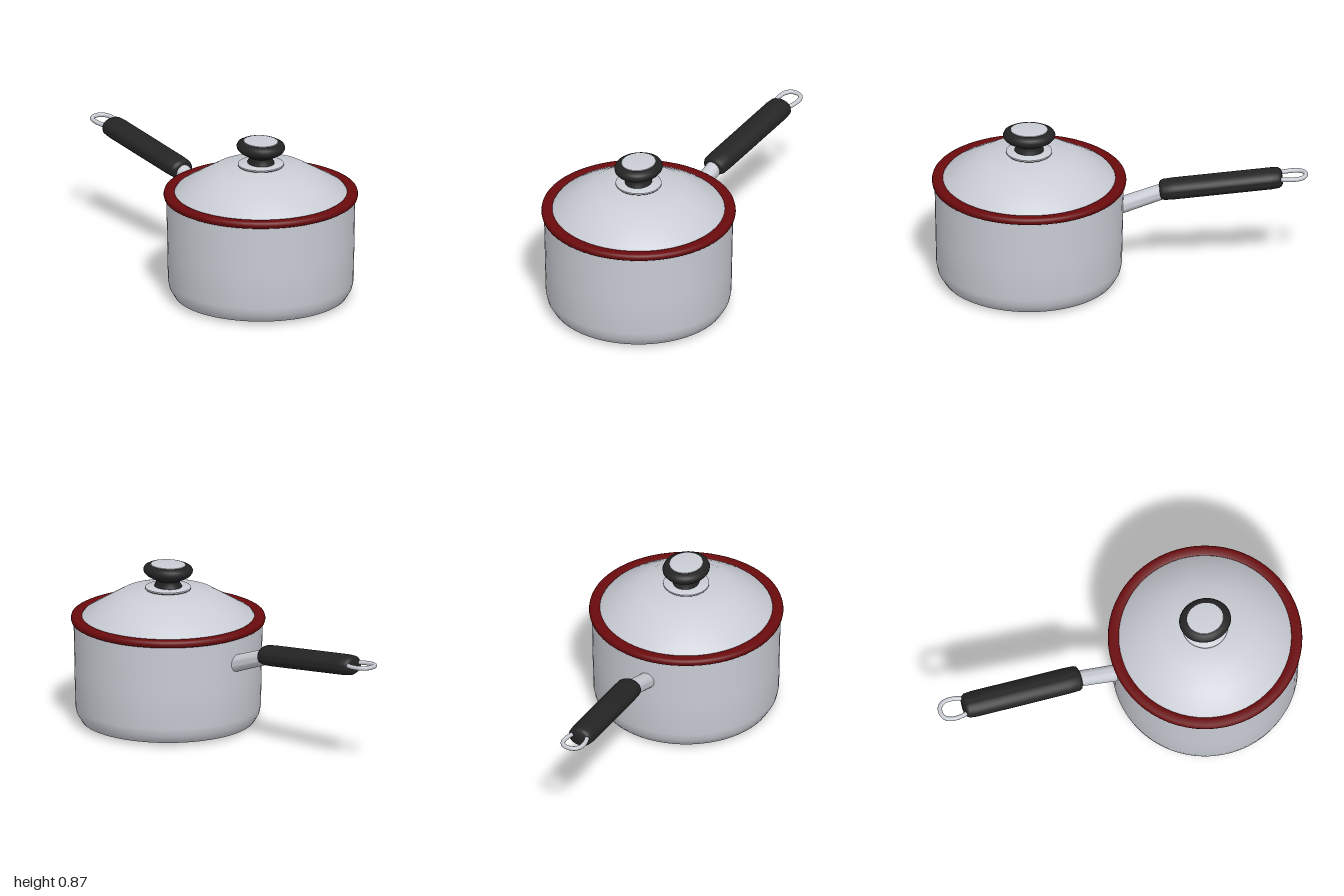
import * as THREE from 'three';
import { toCreasedNormals } from 'three/addons/utils/BufferGeometryUtils.js';

const material = (name, color) => {
  const m = new THREE.MeshStandardMaterial({ color });
  m.name = name;
  return m;
};

export function createModel() {
  const metal = material('brushed metal', 0xc9ccd4);
  const red = material('dark red', 0x6a0a0d);
  const black = material('black rubber', 0x242424);

  const model = new THREE.Group();
  model.name = 'saucepan';
  const pan = new THREE.Group();
  pan.name = 'panWithLid';
  pan.position.x = 0.48;
  model.add(pan);

  const add = (parent, name, geometry, mat) => {
    const mesh = new THREE.Mesh(geometry, mat);
    mesh.name = name;
    parent.add(mesh);
    return mesh;
  };
  // Profiles are [radius, height], listed from the bottom up the outside
  const lathe = (profile, crease = 0.7, segments = 64) => toCreasedNormals(
    new THREE.LatheGeometry(profile.map(([r, y]) => new THREE.Vector2(r, y)), segments), crease);

  // Pan body
  add(pan, 'panBody', lathe([[0, 0], [0.35, 0.003], [0.42, 0.009], [0.46, 0.018], [0.485, 0.06],
    [0.493, 0.1], [0.497, 0.3], [0.502, 0.56], [0.48, 0.565]], 0.9), metal);

  // Red rim around the lid
  add(pan, 'lidRim', lathe([[0.455, 0.557], [0.503, 0.555], [0.513, 0.56], [0.516, 0.574],
    [0.513, 0.588], [0.503, 0.593], [0.468, 0.593], [0.458, 0.588], [0.455, 0.557]], 0.9), red);

  // Domed lid and the washer under the knob
  add(pan, 'lid', lathe([[0.462, 0.58], [0.45, 0.596], [0.35, 0.657], [0.25, 0.716],
    [0.12, 0.735], [0, 0.738]], 0.9), metal);
  add(pan, 'knobGasket', lathe([[0, 0.73], [0.118, 0.733], [0.122, 0.738], [0, 0.739]]), black);
  add(pan, 'knobWasher', lathe([[0, 0.739], [0.122, 0.739], [0.122, 0.746], [0.115, 0.75], [0, 0.75]]), metal);

  // Knob, slightly wider along the handle direction
  const knob = new THREE.Group();
  knob.name = 'knob';
  knob.scale.x = 1.13;
  pan.add(knob);
  add(knob, 'knobGrip', lathe([[0.069, 0.748], [0.067, 0.758], [0.059, 0.772], [0.06, 0.785],
    [0.08, 0.795], [0.108, 0.812], [0.121, 0.829], [0.123, 0.842], [0.117, 0.856],
    [0.1, 0.866], [0.08, 0.87], [0, 0.87]], 0.9), black);
  add(knob, 'knobCap', lathe([[0.088, 0.866], [0.086, 0.871], [0.07, 0.873], [0, 0.874]]), metal);

  // Places a y-axis part so that it starts at one point and heads to another
  const aim = (mesh, from, to) => {
    mesh.position.copy(from);
    mesh.quaternion.setFromUnitVectors(new THREE.Vector3(0, 1, 0), to.clone().sub(from).normalize());
  };

  // Metal neck joining the pan to the grip
  const handle = new THREE.Group();
  handle.name = 'handle';
  model.add(handle);
  const neckStart = new THREE.Vector3(0.02, 0.41, 0);
  const neckEnd = new THREE.Vector3(-0.26, 0.513, 0);
  const neckLength = neckStart.distanceTo(neckEnd);
  aim(add(handle, 'handleNeck', lathe([[0, 0], [0.045, 0], [0.042, neckLength], [0, neckLength]], 0.7, 32), metal),
    neckStart, neckEnd);

  // Rounded black grip, oval in section
  const gripStart = new THREE.Vector3(-0.212, 0.509, 0);
  const gripEnd = new THREE.Vector3(-0.862, 0.58, 0);
  const L = gripStart.distanceTo(gripEnd);
  const grip = add(handle, 'handleGrip', lathe([[0, 0], [0.036, 0.001], [0.048, 0.008], [0.053, 0.022],
    [0.055, 0.08], [0.055, L - 0.06], [0.052, L - 0.02], [0.044, L - 0.006], [0.034, L], [0, L]], 0.9, 40), black);
  aim(grip, gripStart, gripEnd);
  grip.scale.z = 1.3;

  // Wire hanging loop
  const loop = [[-0.83, 0.03], [-0.865, 0.047], [-0.91, 0.055], [-0.955, 0.05], [-0.98, 0.03]];
  const points = [...loop, [-0.988, 0], ...loop.slice().reverse().map(([x, z]) => [x, -z])]
    .map(([x, z]) => new THREE.Vector3(x, 0.59 - (x + 0.9) * 0.07, z));
  add(handle, 'hangingLoop',
    new THREE.TubeGeometry(new THREE.CatmullRomCurve3(points), 60, 0.012, 12), metal);

  return model;
}
